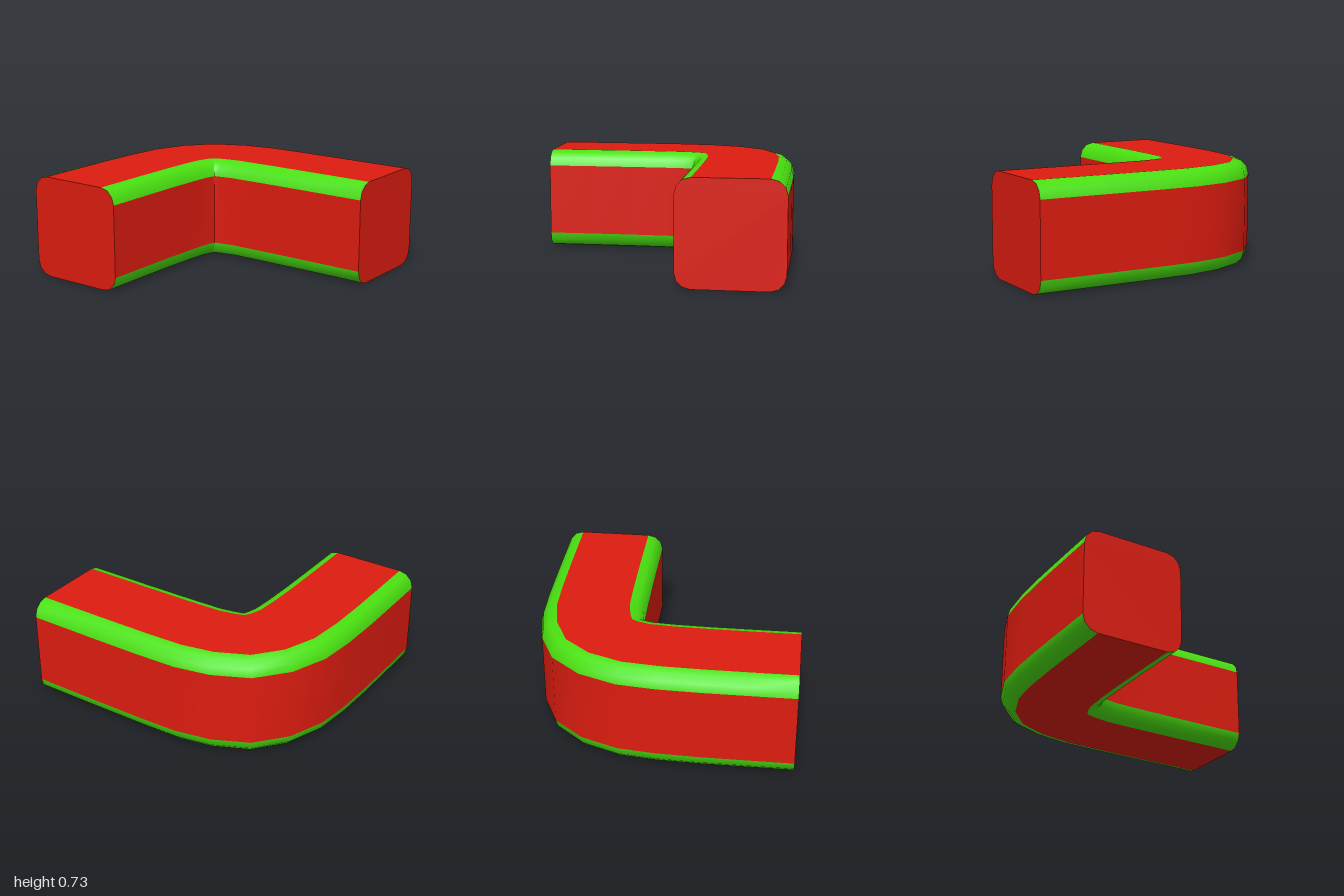
import * as THREE from 'three';

const HALF = 0.367, FLAT = 0.257, RADIUS = HALF - FLAT, MID_Y = 0.37;
const RED = 0xdd1c10, GREEN = 0x4ae010;

// Stations along the bend: centre x, centre z, heading in degrees (0 = +x, 90 = +z)
const STATIONS = [
  [-0.925, -0.633, 0], [-0.6, -0.633, 0], [-0.3, -0.632, 0.8], [-0.03, -0.624, 4.5],
  [0.18, -0.604, 14], [0.34, -0.546, 31], [0.45, -0.457, 52.5], [0.512, -0.314, 71.5],
  [0.546, -0.136, 83], [0.554, 0.12, 88.5], [0.557, 0.5, 90], [0.557, 1, 90],
];

// Point of the cross-section (u outward, v up) placed at a station
function place([cx, cz, heading], [u, v]) {
  const a = THREE.MathUtils.degToRad(heading);
  return [cx + u * Math.sin(a), MID_Y + v, cz - u * Math.cos(a)];
}

// Corner arc number k (0..3), counter-clockwise, three segments
function cornerArc(k) {
  const su = k === 0 || k === 3 ? 1 : -1, sv = k < 2 ? 1 : -1;
  return [0, 1, 2, 3].map((i) => {
    const t = (k + i / 3) * Math.PI / 2;
    return [su * FLAT + RADIUS * Math.cos(t), sv * FLAT + RADIUS * Math.sin(t)];
  });
}

function makeMesh(name, color, positions, index) {
  const geometry = new THREE.BufferGeometry();
  geometry.setAttribute('position', new THREE.Float32BufferAttribute(positions, 3));
  geometry.setIndex(index);
  geometry.computeVertexNormals();
  const mesh = new THREE.Mesh(geometry, new THREE.MeshStandardMaterial({ color, side: THREE.DoubleSide }));
  mesh.name = name;
  return mesh;
}

// Sweep an open piece of the cross-section along all stations
function sweep(name, color, profile) {
  const n = profile.length, index = [];
  const positions = STATIONS.flatMap((s) => profile.flatMap((p) => place(s, p)));
  for (let i = 0; i < STATIONS.length - 1; i++) {
    for (let j = 0; j < n - 1; j++) {
      const a = i * n + j, b = a + 1, c = a + n, d = c + 1;
      index.push(a, b, c, b, d, c);
    }
  }
  return makeMesh(name, color, positions, index);
}

// Flat end face filling the whole cross-section
function cap(name, station, outline, flip) {
  const index = [];
  for (let i = 1; i < outline.length - 1; i++) {
    index.push(0, ...(flip ? [i + 1, i] : [i, i + 1]));
  }
  return makeMesh(name, RED, outline.flatMap((p) => place(station, p)), index);
}

export function createModel() {
  const group = new THREE.Group();
  group.name = 'cornerBend';

  const arcs = [0, 1, 2, 3].map(cornerArc);
  const edgeNames = ['topOuterEdge', 'topInnerEdge', 'bottomInnerEdge', 'bottomOuterEdge'];
  const faceNames = ['topFace', 'innerFace', 'bottomFace', 'outerFace'];

  // Rounded green edges and the flat red faces between them
  arcs.forEach((arc, k) => {
    group.add(sweep(edgeNames[k], GREEN, arc));
    group.add(sweep(faceNames[k], RED, [arc[3], arcs[(k + 1) % 4][0]]));
  });

  // End faces
  const outline = arcs.flat();
  group.add(cap('rightEnd', STATIONS[0], outline, true));
  group.add(cap('frontEnd', STATIONS[STATIONS.length - 1], outline, false));

  return group;
}
